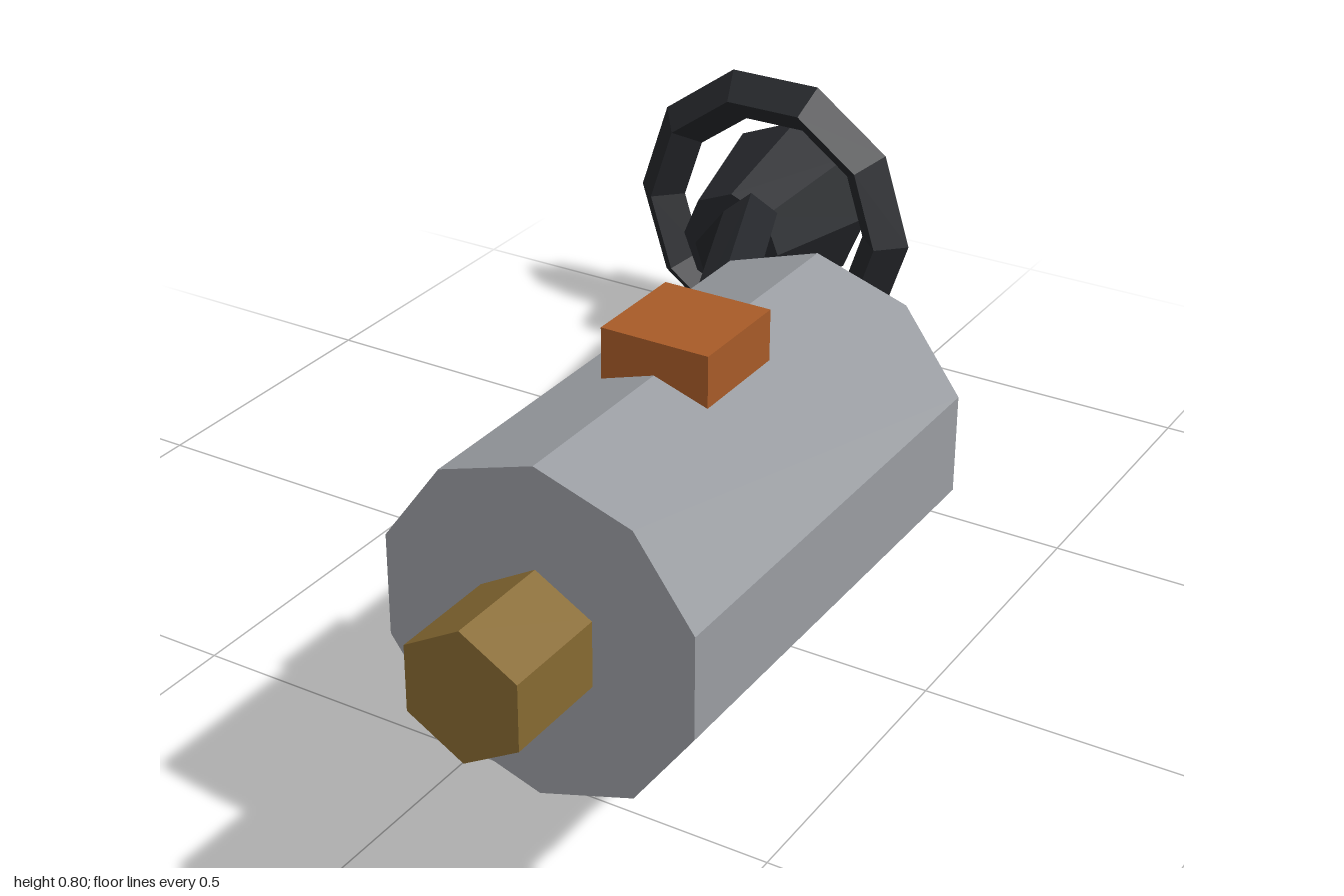
import * as THREE from 'three';

const mat = (color) => new THREE.MeshStandardMaterial({ color, flatShading: true });
const steel = mat(0x9a9da2);
const brass = mat(0x876a32);
const orange = mat(0xa85b28);
const rubber = mat(0x25272b);
const hoseRubber = mat(0x25272b);
hoseRubber.side = THREE.DoubleSide;

// Path with straight runs and sharp elbows
class Polyline extends THREE.Curve {
  constructor(points) {
    super();
    this.points = points;
  }
  getPoint(t, target = new THREE.Vector3()) {
    const n = this.points.length - 1;
    const i = Math.min(Math.floor(t * n), n - 1);
    return target.lerpVectors(this.points[i], this.points[i + 1], t * n - i);
  }
  getPointAt(u, target) { return this.getPoint(u, target); }
  getTangentAt(u, target) { return this.getTangent(u, target); }
}

export function createModel() {
  const group = new THREE.Group();

  const add = (name, geometry, material, x = 0, y = 0, z = 0) => {
    const mesh = new THREE.Mesh(geometry, material);
    mesh.name = name;
    mesh.position.set(x, y, z);
    group.add(mesh);
    return mesh;
  };

  // Prism or frustum lying along z, from zBack to zFront
  const addBarrel = (name, material, rFront, rBack, sides, x, y, zBack, zFront) => {
    const geometry = new THREE.CylinderGeometry(rFront, rBack, zFront - zBack, sides);
    geometry.rotateX(Math.PI / 2);
    return add(name, geometry, material, x, y, (zBack + zFront) / 2);
  };

  // Gas tank with its valve and top block
  addBarrel('tank', steel, 0.24, 0.24, 10, 0.35, 0.515, 0.12, 0.838);
  addBarrel('valve', brass, 0.095, 0.095, 6, 0.35, 0.515, 0.83, 1);
  add('topBlock', new THREE.BoxGeometry(0.16, 0.08, 0.16), orange, 0.35, 0.763, 0.48);

  // Bent hose running back from the tank to the mouthpiece
  const path = new Polyline([
    new THREE.Vector3(0.18, 0.515, 0.16),
    new THREE.Vector3(-0.05, 0.515, -0.4),
    new THREE.Vector3(-0.297, 0.272, -0.727),
  ]);
  add('hose', new THREE.TubeGeometry(path, 2, 0.047, 5), hoseRubber);

  // Tapered mouthpiece inside its faceted ring
  addBarrel('mouthpiece', rubber, 0.1, 0.16, 8, -0.292, 0.276, -1, -0.76);
  add('ring', new THREE.TorusGeometry(0.241, 0.048, 4, 10), rubber, -0.292, 0.276, -0.918);

  return group;
}
